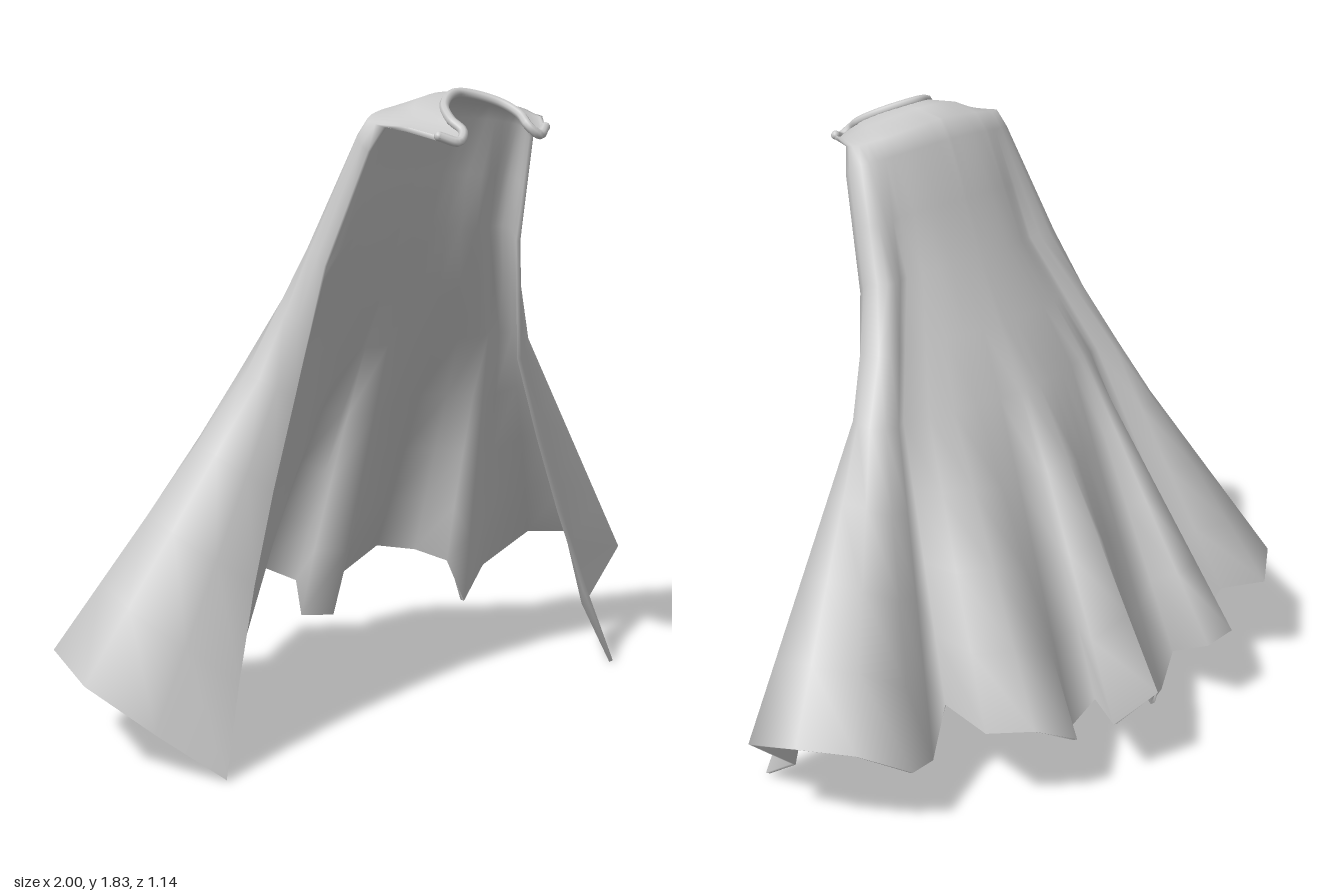
import * as THREE from 'three';

const V = (p) => new THREE.Vector3(...p);

// Symmetric arc from the right front edge, round the back, to the left front edge
function arc(half, shift = 0) {
  const left = half.slice(0, -1).reverse().map(([x, y, z]) => [-x, y, z]);
  return new THREE.CatmullRomCurve3(
    [...half, ...left].map(([x, y, z]) => V([x + shift, y, z])), false, 'centripetal');
}

// Pleated hem, running right front -> back -> left front
const HEM = [
  [-0.70, 0, 0.275], [-0.85, 0.13, 0.16], [-1, 0.27, 0.05], [-0.93, 0.28, -0.23],
  [-0.71, 0.30, -0.39], [-0.61, 0.28, -0.30], [-0.62, 0.18, -0.24], [-0.58, 0.12, -0.20],
  [-0.52, 0.18, -0.34], [-0.48, 0.24, -0.45], [-0.37, 0.23, -0.45], [-0.41, 0.13, -0.28],
  [-0.29, 0.07, -0.34], [-0.18, 0.10, -0.40], [-0.07, 0.18, -0.50], [0, 0.27, -0.57],
  [0.13, 0.20, -0.52], [0.01, 0.16, -0.34], [0.13, 0.13, -0.36], [0.26, 0.20, -0.50],
  [0.41, 0.28, -0.48], [0.50, 0.27, -0.38], [0.48, 0.28, -0.20], [0.54, 0.13, -0.21],
  [0.70, 0.20, -0.30], [0.86, 0.30, -0.25], [0.96, 0.31, -0.12], [1, 0.28, 0.03],
  [0.83, 0.13, 0.06], [0.78, 0, 0.24],
].map(V);

// Where the pleat folds start along the upper arcs: [hem column, fraction of arc]
const FOLDS = [[0, 0], [6, 0.225], [10, 0.285], [11, 0.30], [16, 0.495], [17, 0.51],
  [22, 0.775], [29, 1]];

const NECK = arc([[-0.185, 1.72, 0.53], [-0.14, 1.705, 0.557], [-0.114, 1.727, 0.543],
  [-0.12, 1.755, 0.50], [-0.092, 1.787, 0.44], [0, 1.812, 0.388]]);
const SHOULDER = arc([[-0.262, 1.735, 0.38], [-0.275, 1.748, 0.33], [-0.21, 1.765, 0.285],
  [0, 1.785, 0.27]], 0.015);
const NAPE = arc([[-0.292, 1.67, 0.345], [-0.295, 1.70, 0.30], [-0.21, 1.72, 0.25],
  [0, 1.735, 0.23]], 0.02);
// Chest and waist carry a groove between each side panel and the back
const CHEST = arc([[-0.35, 1.36, 0.245], [-0.358, 1.4, 0.2], [-0.33, 1.4, 0.15],
  [-0.25, 1.4, 0.165], [-0.15, 1.41, 0.135], [0, 1.41, 0.12]], 0.01);
const WAIST = arc([[-0.41, 1.0, 0.19], [-0.49, 1.05, 0.13], [-0.495, 1.05, 0.05],
  [-0.45, 1.05, 0], [-0.40, 1.05, 0.03], [-0.33, 1.05, 0.01], [-0.15, 1.05, -0.035],
  [0, 1.05, -0.05]], 0.01);

// Thin closed shell skinned over rows of points
function shell(rows, thickness) {
  const n = rows[0].length, m = rows.length, count = n * m;
  const outer = rows.flat(), index = [];
  for (let i = 0; i < m - 1; i++) {
    for (let j = 0; j < n - 1; j++) {
      const a = i * n + j, b = a + 1, c = a + n, d = c + 1;
      index.push(a, b, c, b, d, c);
    }
  }
  const geo = new THREE.BufferGeometry().setFromPoints(outer);
  geo.setIndex(index);
  geo.computeVertexNormals();
  const normal = geo.attributes.normal;
  const inner = outer.map((p, k) =>
    p.clone().addScaledVector(new THREE.Vector3().fromBufferAttribute(normal, k), -thickness));

  const all = [...index];
  for (let k = 0; k < index.length; k += 3) {
    all.push(index[k] + count, index[k + 2] + count, index[k + 1] + count);
  }
  // Close the border between the two layers
  const border = [];
  for (let j = 0; j < n; j++) border.push(j);
  for (let i = 1; i < m; i++) border.push(i * n + n - 1);
  for (let j = n - 2; j >= 0; j--) border.push((m - 1) * n + j);
  for (let i = m - 2; i > 0; i--) border.push(i * n);
  border.forEach((a, k) => {
    const b = border[(k + 1) % border.length];
    all.push(a, a + count, b, b, a + count, b + count);
  });
  const result = new THREE.BufferGeometry().setFromPoints([...outer, ...inner]);
  result.setIndex(all);
  result.computeVertexNormals();
  return result;
}

export function createModel() {
  const group = new THREE.Group();
  const material = new THREE.MeshStandardMaterial({ color: 0xcccccc, side: THREE.DoubleSide });
  const add = (name, geometry) => {
    const mesh = new THREE.Mesh(geometry, material);
    mesh.name = name;
    group.add(mesh);
    return mesh;
  };

  // Cloth: collar yoke, shoulders, back and flared pleats in one piece
  const last = HEM.length - 1;
  const fraction = (j) => {
    const k = Math.max(1, FOLDS.findIndex(([column]) => column >= j));
    const [c0, u0] = FOLDS[k - 1], [c1, u1] = FOLDS[k];
    return THREE.MathUtils.mapLinear(j, c0, c1, u0, u1);
  };
  const sample = (curve) => HEM.map((_, j) => curve.getPointAt(fraction(j)));
  const blend = (a, b, t) => a.map((p, j) => p.clone().lerp(b[j], t));
  const neck = HEM.map((_, j) => NECK.getPointAt(j / last));
  const [shoulder, nape, chest, waist] = [SHOULDER, NAPE, CHEST, WAIST].map(sample);
  const yoke = blend(neck, shoulder, 0.5);
  yoke.forEach((p) => {
    p.x *= 1.05;
    p.y += 0.012;
  });

  // Skirt rows, with the front edges hanging straight before they kick forward
  const skirt = [0.25, 0.5, 0.75].map((t) => {
    const row = blend(waist, HEM, t);
    for (const j of [0, last]) row[j].z -= 0.03 * Math.sin(Math.PI * t);
    return row;
  });
  add('cape', shell([neck, yoke, shoulder, nape, blend(nape, chest, 0.5), chest,
    blend(chest, waist, 0.5), waist, ...skirt, HEM], 0.012));

  // Rolled trim round the neck opening, with rounded ends
  const trim = 0.013;
  add('neckTrim', new THREE.TubeGeometry(NECK, 64, trim, 8));
  for (const [name, t] of [['rightTrimEnd', 0], ['leftTrimEnd', 1]]) {
    add(name, new THREE.SphereGeometry(trim, 10, 8)).position.copy(NECK.getPointAt(t));
  }
  return group;
}
